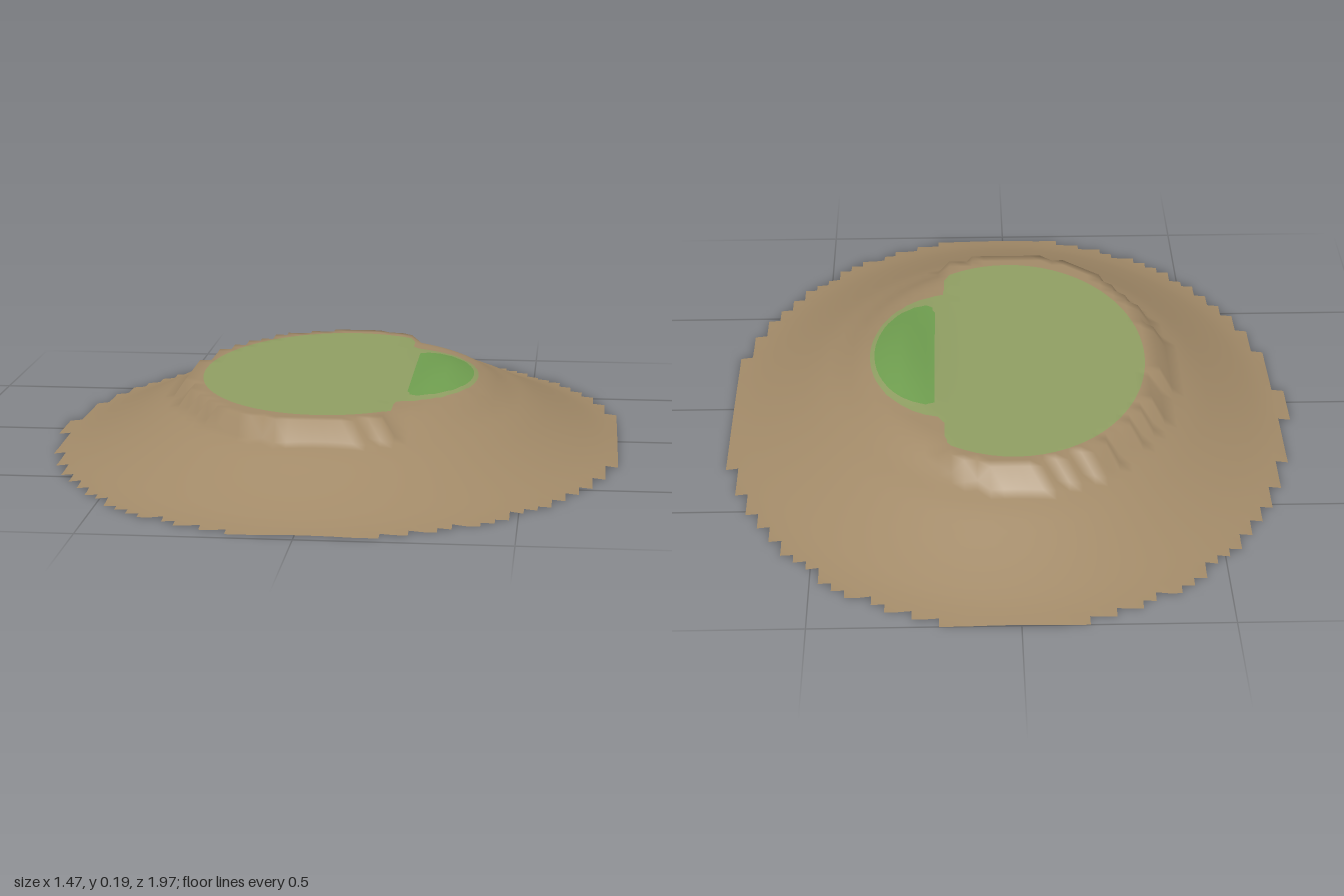
import * as THREE from 'three';

const NX = 46, NZ = 66, WIDTH = 1.47, DEPTH = 2;

// Slope height against normalised distance from the hill centre
const slope = new THREE.CubicInterpolant(
  [0, 0.44, 0.5, 0.54, 0.58, 0.66, 0.72, 0.8, 0.87, 0.93, 1],
  [0.17, 0.168, 0.161, 0.147, 0.129, 0.105, 0.083, 0.054, 0.031, 0.014, 0.001], 1, new Float32Array(1));

const ellipse = (x, z, cx, cz, a, b) => Math.hypot((x - cx) / a, (z - cz) / b);
const hillRadius = (x, z) => ellipse(x, z, 0.015, -0.015, 0.736, 0.997);
const moundRadius = (x, z) => ellipse(x, z, 0.15, -0.01, 0.22, 0.33);

function height(x, z) {
  // Levelled plateau with a sharp step around it
  if (x < 0.175 && ellipse(x, z, 0, -0.012, 0.395, 0.58) < 1) return 0.17;
  // Low mound on the left side of the plateau
  const e = moundRadius(x, z);
  if (x > 0.15 && e < 1) {
    return 0.164 + 0.006 * (1 - THREE.MathUtils.smoothstep(x, 0.18, 0.33))
      + 0.05 * (1 - e * e) * THREE.MathUtils.smoothstep(x, 0.18, 0.33);
  }
  return Math.min(0.167, slope.evaluate(hillRadius(x, z))[0]);
}

// Colour regions: positive inside
const grassField = (p) => Math.max(
  Math.min(1 - ellipse(p.x, p.z, 0, -0.02, 0.35, 0.51), (0.175 - p.x) * 5),
  1 - moundRadius(p.x, p.z));
const moundField = (p) => Math.min(1 - ellipse(p.x, p.z, 0.2, -0.01, 0.158, 0.268), (p.x - 0.2) * 5);

// Split a polygon along the zero line of a field
function split(poly, field) {
  const inside = [], outside = [];
  poly.forEach((v, i) => {
    const w = poly[(i + 1) % poly.length];
    const f = field(v.p), g = field(w.p);
    (f > 0 ? inside : outside).push(v);
    if ((f > 0) !== (g > 0)) {
      const t = f / (f - g);
      const cut = { p: v.p.clone().lerp(w.p, t), n: v.n.clone().lerp(w.n, t).normalize() };
      inside.push(cut);
      outside.push(cut);
    }
  });
  return [inside, outside];
}

// Ground grid, keeping only the cells inside the oval
function groundGrid() {
  const positions = [], index = [];
  for (let j = 0; j <= NZ; j++) {
    for (let i = 0; i <= NX; i++) {
      const x = (i / NX - 0.5) * WIDTH, z = (j / NZ - 0.5) * DEPTH;
      positions.push(x, Math.max(0, height(x, z)), z);
    }
  }
  for (let j = 0; j < NZ; j++) {
    for (let i = 0; i < NX; i++) {
      const x = ((i + 0.5) / NX - 0.5) * WIDTH, z = ((j + 0.5) / NZ - 0.5) * DEPTH;
      if (hillRadius(x, z) > 1) continue;
      const a = j * (NX + 1) + i, b = a + NX + 1;
      index.push(a, b, b + 1, a, b + 1, a + 1);
    }
  }
  const geometry = new THREE.BufferGeometry();
  geometry.setAttribute('position', new THREE.Float32BufferAttribute(positions, 3));
  geometry.setIndex(index);
  geometry.computeVertexNormals();
  return geometry;
}

export function createModel() {
  const group = new THREE.Group();
  group.name = 'hill';

  const grid = groundGrid();
  const { position, normal } = grid.attributes;
  const parts = { hillside: [], plateauGrass: [], moundGrass: [] };
  const addFan = (list, poly) => {
    for (let k = 1; k + 1 < poly.length; k++) list.push(poly[0], poly[k], poly[k + 1]);
  };

  // Sort every triangle into its colour region
  const idx = grid.index.array;
  for (let t = 0; t < idx.length; t += 3) {
    const tri = [0, 1, 2].map((k) => ({
      p: new THREE.Vector3().fromBufferAttribute(position, idx[t + k]),
      n: new THREE.Vector3().fromBufferAttribute(normal, idx[t + k]),
    }));
    const [grass, earth] = split(tri, grassField);
    const [mound, plateau] = split(grass, moundField);
    addFan(parts.hillside, earth);
    addFan(parts.plateauGrass, plateau);
    addFan(parts.moundGrass, mound);
  }

  const colours = {
    hillside: ['earthBrown', 0xa38b69],
    plateauGrass: ['paleGreen', 0x909f63],
    moundGrass: ['grassGreen', 0x709f50],
  };
  for (const [name, verts] of Object.entries(parts)) {
    const geometry = new THREE.BufferGeometry();
    geometry.setAttribute('position', new THREE.Float32BufferAttribute(verts.flatMap((v) => v.p.toArray()), 3));
    geometry.setAttribute('normal', new THREE.Float32BufferAttribute(verts.flatMap((v) => v.n.toArray()), 3));
    const material = new THREE.MeshStandardMaterial({ color: colours[name][1], side: THREE.DoubleSide });
    material.name = colours[name][0];
    const mesh = new THREE.Mesh(geometry, material);
    mesh.name = name;
    group.add(mesh);
  }
  return group;
}
